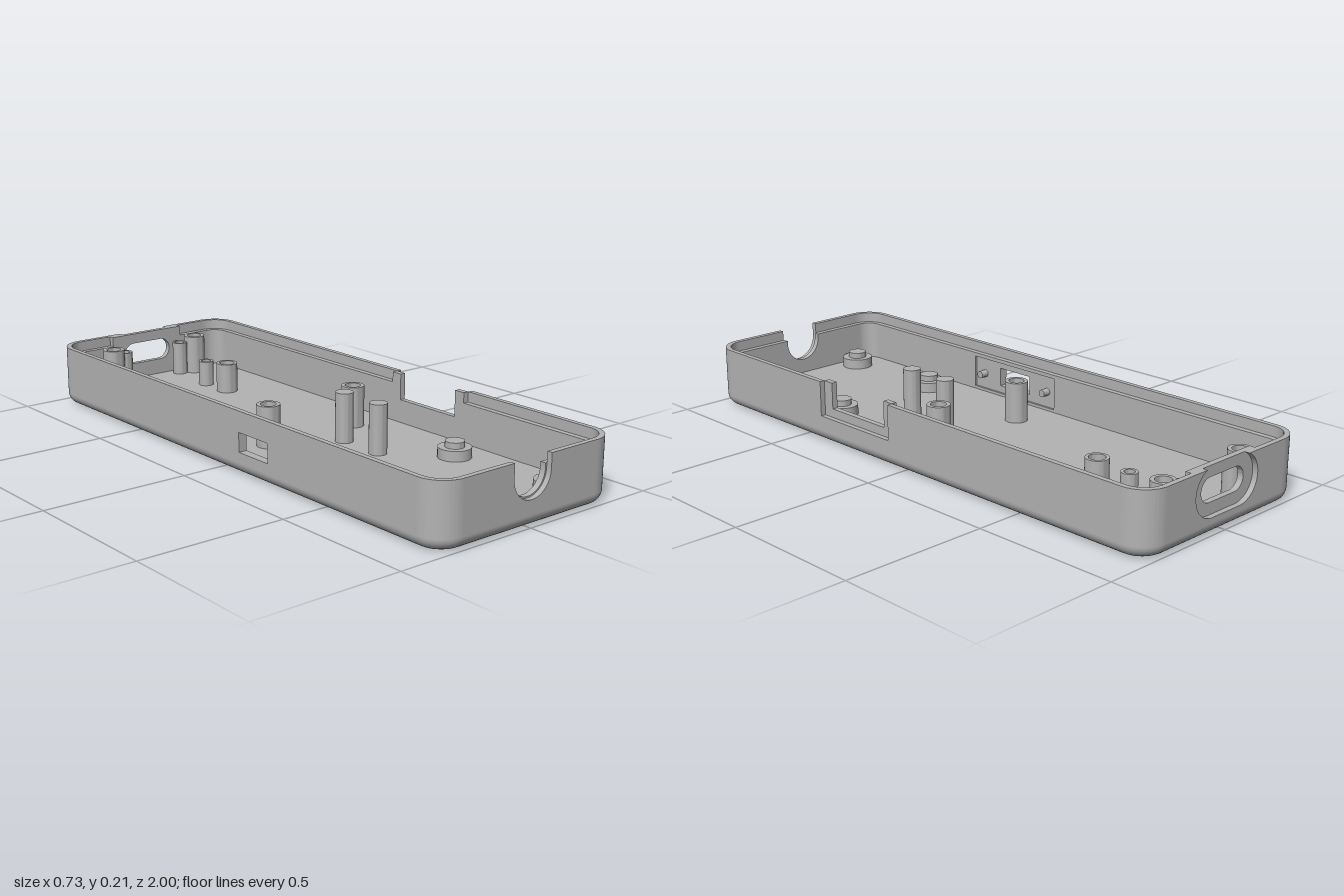
import * as THREE from 'three';
import { toCreasedNormals } from 'three/addons/utils/BufferGeometryUtils.js';

const HX = 0.363, HZ = 1, R = 0.09;          // half width, half length, corner radius
const FLOOR = 0.04, LEDGE = 0.175, TOP = 0.21;
const LIP = 0.018, INNER = 0.02;             // outer and inner wall layer thickness
const CX = HX - R, CZ = HZ - R;              // corner centres

export function createModel() {
  const grey = new THREE.MeshStandardMaterial({ color: 0xb3b3b3 });
  grey.name = 'grey plastic';
  const model = new THREE.Group();
  model.name = 'enclosureHalf';

  const add = (name, geo, x = 0, y = 0, z = 0) => {
    const mesh = new THREE.Mesh(geo, grey);
    mesh.name = name;
    mesh.position.set(x, y, z);
    model.add(mesh);
    return mesh;
  };
  const crease = (geo) => toCreasedNormals(geo, 0.6);
  const extrude = (shape, depth) =>
    crease(new THREE.ExtrudeGeometry(shape, { depth, bevelEnabled: false, curveSegments: 24 }));
  const poly = (pts) => new THREE.Shape(pts.map(([x, y]) => new THREE.Vector2(x, y)));
  const rect = (x0, x1, y0, y1) => poly([[x0, y0], [x1, y0], [x1, y1], [x0, y1]]);
  const circle = (x, y, r) => new THREE.Path().absarc(x, y, r, 0, Math.PI * 2);
  const stadium = (half, cy, r) => new THREE.Path()
    .absarc(half, cy, r, -Math.PI / 2, Math.PI / 2)
    .absarc(-half, cy, r, Math.PI / 2, Math.PI * 1.5);
  const roundedRect = (inset) => {
    const s = new THREE.Shape(), r = R - inset;
    [[1, 1], [-1, 1], [-1, -1], [1, -1]].forEach(([sx, sy], i) =>
      s.absarc(sx * CX, sy * CZ, r, i * Math.PI / 2, (i + 1) * Math.PI / 2));
    return s;
  };

  // Through-hole posts: x, z, radius, hole radius, top height
  const throughPosts = [
    [-0.125, -0.92, 0.027, 0.018, 0.16], [0.12, -0.92, 0.027, 0.018, 0.16],
    [0.1, -0.72, 0.027, 0.017, 0.13], [0.108, -0.6, 0.038, 0.027, 0.145],
  ];

  // Floor and underside, pierced below the through-hole posts
  const floor = roundedRect(0.02), under = roundedRect(0.04);
  for (const [x, z, , h] of throughPosts) {
    floor.holes.push(circle(x, -z, h + 0.003));
    under.holes.push(circle(x, z, h + 0.008));
  }
  add('floor', new THREE.ShapeGeometry(floor, 20).rotateX(-Math.PI / 2), 0, FLOOR, 0);
  add('underside', new THREE.ShapeGeometry(under, 20).rotateX(Math.PI / 2));

  // Rounded bottom edge, swept around the outline
  const pos = [], nor = [], idx = [], N = 12, M = 8, ring = 4 * (N + 1);
  for (let m = 0; m <= M; m++) {
    const t = (1 - m / M) * Math.PI / 2;
    const r = R - FLOOR + FLOOR * Math.cos(t), y = FLOOR - FLOOR * Math.sin(t);
    for (let k = 0; k < 4; k++) for (let j = 0; j <= N; j++) {
      const a = (k + j / N) * Math.PI / 2, c = Math.cos(a), s = Math.sin(a);
      const sx = k === 0 || k === 3 ? 1 : -1, sz = k < 2 ? 1 : -1;
      pos.push(sx * CX + r * c, y, sz * CZ + r * s);
      nor.push(c * Math.cos(t), -Math.sin(t), s * Math.cos(t));
    }
  }
  for (let m = 0; m < M; m++) for (let i = 0; i < ring; i++) {
    const a = m * ring + i, b = m * ring + (i + 1) % ring;
    idx.push(a, a + ring, b, b, a + ring, b + ring);
  }
  const edge = new THREE.BufferGeometry();
  edge.setAttribute('position', new THREE.Float32BufferAttribute(pos, 3));
  edge.setAttribute('normal', new THREE.Float32BufferAttribute(nor, 3));
  edge.setIndex(idx);
  add('bottomEdge', edge);

  // Straight wall layers: drawn facing +z, pushed out, then turned to their side
  const wall = (name, shape, turn, from, depth) =>
    add(name, extrude(shape, depth).translate(0, 0, from).rotateY(turn));
  const outer = (name, shape, turn, half) => wall(name + 'Outer', shape, turn, half - LIP, LIP);
  const inner = (name, shape, turn, half) => wall(name + 'Inner', shape, turn, half - LIP - INNER, INNER);

  // Front wall with a round cable notch, open at the top
  const notched = (r, top) => {
    const s = new THREE.Shape();
    s.moveTo(-CX, FLOOR).lineTo(CX, FLOOR).lineTo(CX, top).lineTo(r, top);
    s.absarc(0, 0.162, r, 0, -Math.PI, true);
    s.lineTo(-r, top).lineTo(-CX, top);
    return s;
  };
  outer('frontWall', notched(0.076, TOP), 0, HZ);
  inner('frontWall', notched(0.071, LEDGE), 0, HZ);

  // Back wall: recessed oval around a smaller oval port
  const r = 0.08, cy = 0.137, a = Math.asin((TOP - cy) / r), h = 0.065;
  const back = new THREE.Shape();
  back.moveTo(-CX, FLOOR).lineTo(CX, FLOOR).lineTo(CX, TOP);
  back.absarc(h, cy, r, a, -Math.PI / 2, true);
  back.absarc(-h, cy, r, -Math.PI / 2, -Math.PI - a, true);
  back.lineTo(-CX, TOP);
  outer('backWall', back, Math.PI, HZ);
  const port = poly([[-CX, FLOOR], [CX, FLOOR], [CX, LEDGE], [0.15, LEDGE], [0.15, TOP],
    [-0.15, TOP], [-0.15, LEDGE], [-CX, LEDGE]]);
  port.holes.push(stadium(0.06, 0.135, 0.039));
  inner('backWall', port, Math.PI, HZ);

  // Right-hand (+x) wall: stepped rectangular notch (drawn along -z)
  outer('notchWall', poly([[-CZ, FLOOR], [CZ, FLOOR], [CZ, TOP], [-0.06, TOP], [-0.06, 0.09],
    [-0.4, 0.09], [-0.4, TOP], [-CZ, TOP]]), Math.PI / 2, HX);
  inner('notchWall', poly([[-CZ, FLOOR], [CZ, FLOOR], [CZ, LEDGE], [-0.06, LEDGE], [-0.06, TOP],
    [-0.1, TOP], [-0.1, 0.12], [-0.36, 0.12], [-0.36, TOP], [-0.4, TOP], [-0.4, LEDGE],
    [-CZ, LEDGE]]), Math.PI / 2, HX);

  // Opposite wall: switch window inside a shallow inner recess with two pins
  const windowHole = () => rect(0.105, 0.25, 0.075, 0.14);
  const slotWall = rect(-CZ, CZ, FLOOR, TOP);
  slotWall.holes.push(windowHole());
  outer('switchWall', slotWall, -Math.PI / 2, HX);
  const recessWall = rect(-CZ, CZ, FLOOR, LEDGE);
  recessWall.holes.push(rect(-0.02, 0.37, 0.05, 0.162));
  inner('switchWall', recessWall, -Math.PI / 2, HX);
  const plate = rect(-0.02, 0.37, 0.05, 0.162);
  plate.holes.push(windowHole());
  wall('switchRecess', plate, -Math.PI / 2, HX - LIP - 0.012, 0.012);
  for (const z of [0.02, 0.325])
    add('switchPin', new THREE.CylinderGeometry(0.013, 0.013, 0.035, 20).rotateZ(Math.PI / 2), -0.322, 0.105, z);

  // Rounded corners, in the same two layers
  const corner = (r0, r1, top) => {
    const s = new THREE.Shape();
    s.absarc(0, 0, r1, 0, Math.PI / 2);
    s.absarc(0, 0, r0, Math.PI / 2, 0, true);
    return extrude(s, top - FLOOR).rotateX(-Math.PI / 2);
  };
  const cornerOuter = corner(R - LIP, R, TOP);
  const cornerInner = corner(R - LIP - INNER, R - LIP, LEDGE);
  [[1, -1], [-1, -1], [-1, 1], [1, 1]].forEach(([sx, sz], i) => {
    for (const g of [cornerOuter, cornerInner])
      add('corner', g, sx * CX, FLOOR, sz * CZ).rotation.y = i * Math.PI / 2;
  });

  // Turned parts on the floor
  const turned = (name, pts, x, z) => add(name,
    crease(new THREE.LatheGeometry(pts.map(([px, py]) => new THREE.Vector2(px, py)), 32)), x, 0, z);

  for (const [x, z, pr, hole, top] of throughPosts)
    turned('throughPost', [[pr, FLOOR], [pr, top], [hole, top], [hole, 0.012], [hole + 0.008, 0]], x, z);

  for (const x of [-0.18, 0.18]) {
    for (const z of [-0.91, 0.02])
      turned('screwPost', [[0.039, FLOOR], [0.039, 0.18], [0.026, 0.18], [0.026, 0.07], [0, 0.07]], x, z);
  }
  for (const x of [-0.203, 0.203]) {
    for (const z of [0.487, 0.893])
      turned('locatingBoss', [[0.055, FLOOR], [0.055, 0.075], [0.032, 0.075], [0.032, 0.095], [0, 0.095]], x, z);
  }
  for (const z of [0.14, 0.305])
    turned('supportPeg', [[0.03, FLOOR], [0.03, 0.208], [0, 0.208]], 0.04, z);

  return model;
}
